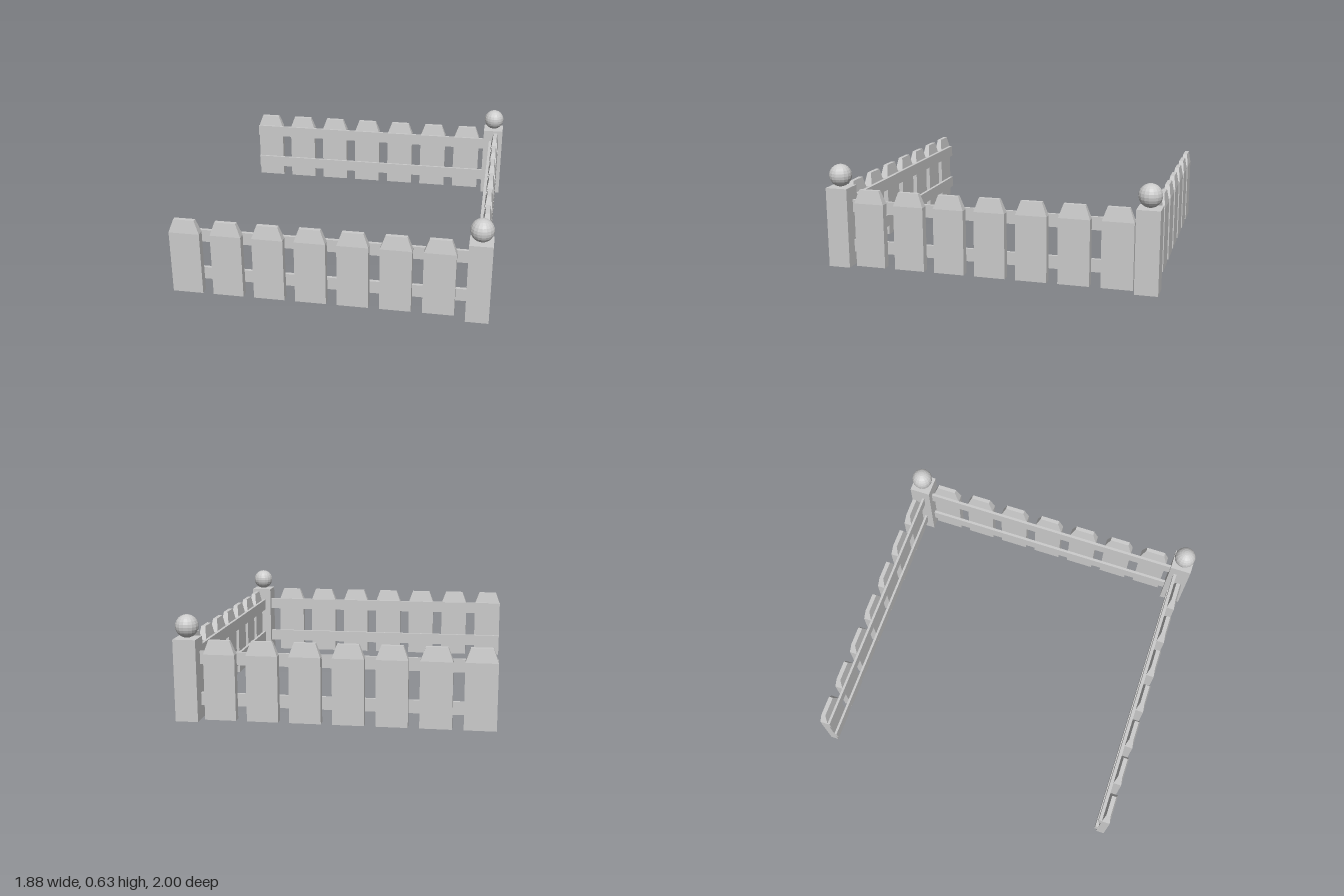
import * as THREE from 'three';

const material = new THREE.MeshStandardMaterial({ color: 0xcccccc, flatShading: true });

const W = 0.185, H = 0.472, D = 0.05, SHOULDER = 0.39;

function addMesh(parent, name, geometry, x, y, z) {
  const mesh = new THREE.Mesh(geometry, material);
  mesh.name = name;
  mesh.position.set(x, y, z);
  parent.add(mesh);
  return mesh;
}

// Board with its top chamfered on all four sides
function picketGeometry() {
  const g = new THREE.BoxGeometry(W, H, D, 1, 2, 1).toNonIndexed();
  g.translate(0, H / 2, 0);
  const p = g.attributes.position;
  for (let i = 0; i < p.count; i++) {
    const y = p.getY(i);
    if (y > H * 0.75) {
      p.setX(i, p.getX(i) - Math.sign(p.getX(i)) * 0.03);
      p.setZ(i, p.getZ(i) - Math.sign(p.getZ(i)) * 0.012);
    } else if (y > H * 0.25) {
      p.setY(i, SHOULDER);
    }
  }
  g.computeVertexNormals();
  return g;
}

// Straight run along local x with its pickets centred on z = 0 and rails behind
function fenceRun(name, start, railFrom, railTo, railDepth) {
  const run = new THREE.Group();
  run.name = name;
  const picket = picketGeometry();
  for (let i = 0; i < 7; i++) addMesh(run, 'picket', picket, start + W / 2 + i * 0.25, 0, 0);
  const rail = new THREE.BoxGeometry(railTo - railFrom, 0.077, railDepth);
  for (const y of [0.112, 0.36]) {
    addMesh(run, 'rail', rail, (railFrom + railTo) / 2, y, -D / 2 - railDepth / 2);
  }
  return run;
}

// Square corner post with a ball on top
function cornerPost(name, y, z) {
  const post = new THREE.Group();
  post.name = name;
  addMesh(post, 'postShaft', new THREE.BoxGeometry(0.135, 0.487, 0.135), 0, 0.2435, 0);
  addMesh(post, 'postBall', new THREE.SphereGeometry(0.068, 16, 12), 0, 0.556, 0);
  post.position.set(0.872, y, z);
  return post;
}

export function createModel() {
  const model = new THREE.Group();
  model.name = 'picketFence';

  const front = fenceRun('frontFence', -0.945, -0.945, 0.81, 0.02);
  front.position.set(0, 0.018, 0.942);

  // Turned to face -z, so local x runs toward -x
  const back = fenceRun('backFence', -0.77, -0.82, 0.915, 0.015);
  back.rotation.y = Math.PI;
  back.position.set(0, 0.008, -0.946);

  // Turned to face +x, so local x runs toward -z
  const side = fenceRun('sideFence', -0.83, -0.87, 0.87, 0.018);
  side.rotation.y = Math.PI / 2;
  side.position.set(0.888, 0.012, 0);

  model.add(front, back, side);
  model.add(cornerPost('frontPost', 0.005, 0.932), cornerPost('backPost', 0, -0.932));
  return model;
}
